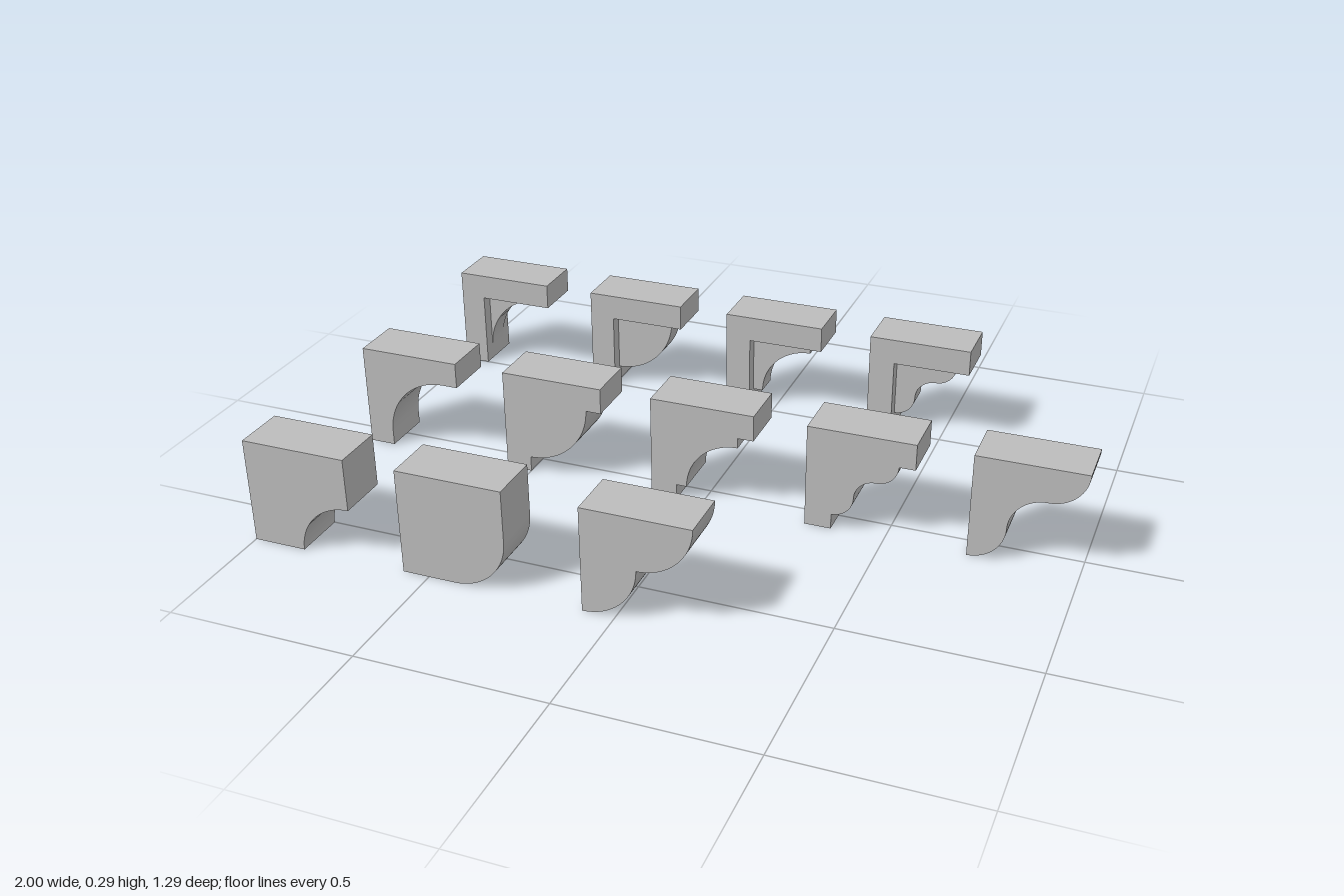
import * as THREE from 'three';
import { toCreasedNormals } from 'three/addons/utils/BufferGeometryUtils.js';

const S = 2 / 7;      // width and height of a bracket
const D = S / 2;      // depth of a bracket

const stone = new THREE.MeshStandardMaterial({ color: 0xbcbcbc });
stone.name = 'stone grey';

// Profile in unit space, run from the wall foot to the outer top.
// Steps: ['to', x, y] line, ['out', r] convex quarter, ['in', r] concave quarter.
function profile(start, steps, top = 1) {
  const shape = new THREE.Shape();
  let [x, y] = start;
  shape.moveTo(x * S, y * S);
  for (const [kind, a, b] of steps) {
    if (kind === 'to') {
      x = a; y = b;
      shape.lineTo(x * S, y * S);
      continue;
    }
    if (kind === 'out') shape.absarc(x * S, (y + a) * S, a * S, -Math.PI / 2, 0, false);
    else shape.absarc((x + a) * S, y * S, a * S, Math.PI, Math.PI / 2, true);
    x += a; y += a;
  }
  shape.lineTo(x * S, top * S);
  shape.lineTo(start[0] * S, top * S);
  shape.closePath();
  return shape;
}

function slab(name, shape, depth) {
  const geo = new THREE.ExtrudeGeometry(shape, { depth, bevelEnabled: false, curveSegments: 16 });
  geo.translate(0, 0, -depth / 2);
  const mesh = new THREE.Mesh(toCreasedNormals(geo, 0.4), stone);
  mesh.name = name;
  return mesh;
}

// Curves shared by the lipped brackets and the framed brackets
const curves = {
  Cove: [['in', 0.6]],
  Round: [['out', 0.6]],
  SteppedCove: [['to', 0.35, 0.15], ['in', 0.5], ['to', 0.85, 0.75]],
  Wave: [['out', 0.2], ['in', 0.2], ['out', 0.2]],
};

export function createModel() {
  const model = new THREE.Group();
  model.name = 'bracketSet';
  const place = (part, x, z) => {
    part.position.set(x, 0, z);
    model.add(part);
  };

  // Front row: plain full-depth brackets
  const plain = [
    ['coveBracket', -1, [['to', 0.5, 0], ['in', 0.5]]],
    ['roundBracket', -1 + 1.5 * S, [['to', 0.5, 0], ['out', 0.5]]],
    ['doubleRoundBracket', -0.3 * S, [['out', 0.5], ['out', 0.5]]],
  ];
  for (const [name, x, steps] of plain) place(slab(name, profile([0, 0], steps), D), x, 2 * S);

  Object.entries(curves).forEach(([name, curve], i) => {
    const x = -1 + i * 1.5 * S;

    // Middle row: curve with a lip above and a foot below
    const steps = [['to', 0.25, 0], ['to', 0.25, 0.15], ...curve, ['to', 1, 0.75]];
    place(slab('lipped' + name + 'Bracket', profile([0, 0], steps), D), x, 0);

    // Back row: right-angled frame with a thinner curved web
    const framed = new THREE.Group();
    framed.name = 'framed' + name + 'Bracket';
    const frame = profile([0, 0], [['to', 0.25, 0], ['to', 0.25, 0.75], ['to', 1, 0.75]]);
    framed.add(slab('frame', frame, D));
    framed.add(slab('web', profile([0.25, 0.15], curve, 0.75), D / 2));
    place(framed, x, -2 * S);
  });

  // Last of the middle row: wave without a lip
  const wave = [['out', 1 / 3], ['in', 1 / 3], ['out', 1 / 3]];
  place(slab('waveBracket', profile([0, 0], wave), D), 1 - S, 0);

  return model;
}
